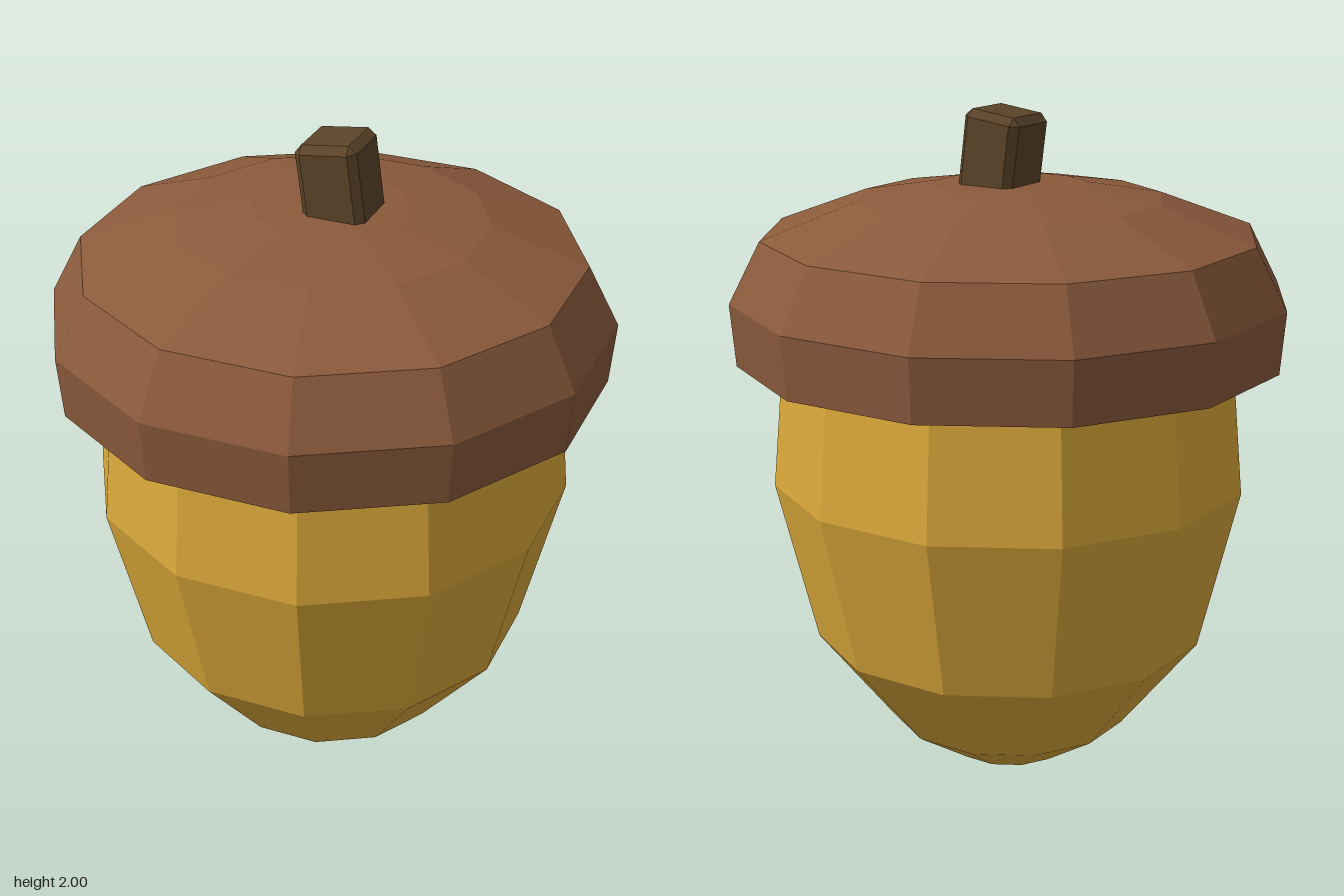
import * as THREE from 'three';
import { ConvexGeometry } from 'three/addons/geometries/ConvexGeometry.js';

const SIDES = 12;

function material(name, color) {
  const m = new THREE.MeshStandardMaterial({ color, flatShading: true });
  m.name = name;
  return m;
}

// Faceted turned shape; profile gives [half-width across flats, height], bottom to top
function turned(name, profile, mat) {
  const toCorner = 1 / Math.cos(Math.PI / SIDES);
  const points = profile.map(([r, y]) => new THREE.Vector2(r * toCorner, y));
  const mesh = new THREE.Mesh(new THREE.LatheGeometry(points, SIDES, Math.PI / SIDES), mat);
  mesh.name = name;
  return mesh;
}

// Box with every edge cut at an angle
function chamferedBox(w, h, d, cut) {
  const [x, y, z] = [w / 2, h / 2, d / 2];
  const points = [];
  for (const sx of [-1, 1]) for (const sy of [-1, 1]) for (const sz of [-1, 1]) {
    points.push(
      new THREE.Vector3(sx * x, sy * (y - cut), sz * (z - cut)),
      new THREE.Vector3(sx * (x - cut), sy * y, sz * (z - cut)),
      new THREE.Vector3(sx * (x - cut), sy * (y - cut), sz * z)
    );
  }
  return new ConvexGeometry(points);
}

export function createModel() {
  const model = new THREE.Group();
  model.name = 'acorn';
  const gold = material('golden nut', 0xdba93a);
  const brown = material('cap brown', 0x8b5a3c);
  const dark = material('stem brown', 0x5c4429);

  // Nut, running up inside the cap
  model.add(turned('nut', [
    [0, 0], [0.17, 0], [0.35, 0.12], [0.575, 0.41],
    [0.69, 0.9], [0.658, 1.27], [0.65, 1.36], [0, 1.36],
  ], gold));

  // Cap with flat underside and shallow dome
  model.add(turned('cap', [
    [0, 1.27], [0.785, 1.27], [0.8, 1.455], [0.71, 1.635],
    [0.44, 1.74], [0.22, 1.778], [0, 1.78],
  ], brown));

  // Leaning stem
  const stem = new THREE.Mesh(chamferedBox(0.186, 0.3, 0.19, 0.022), dark);
  stem.name = 'stem';
  stem.position.set(0.03, 1.841, 0);
  stem.rotation.z = 0.13;
  model.add(stem);

  return model;
}
